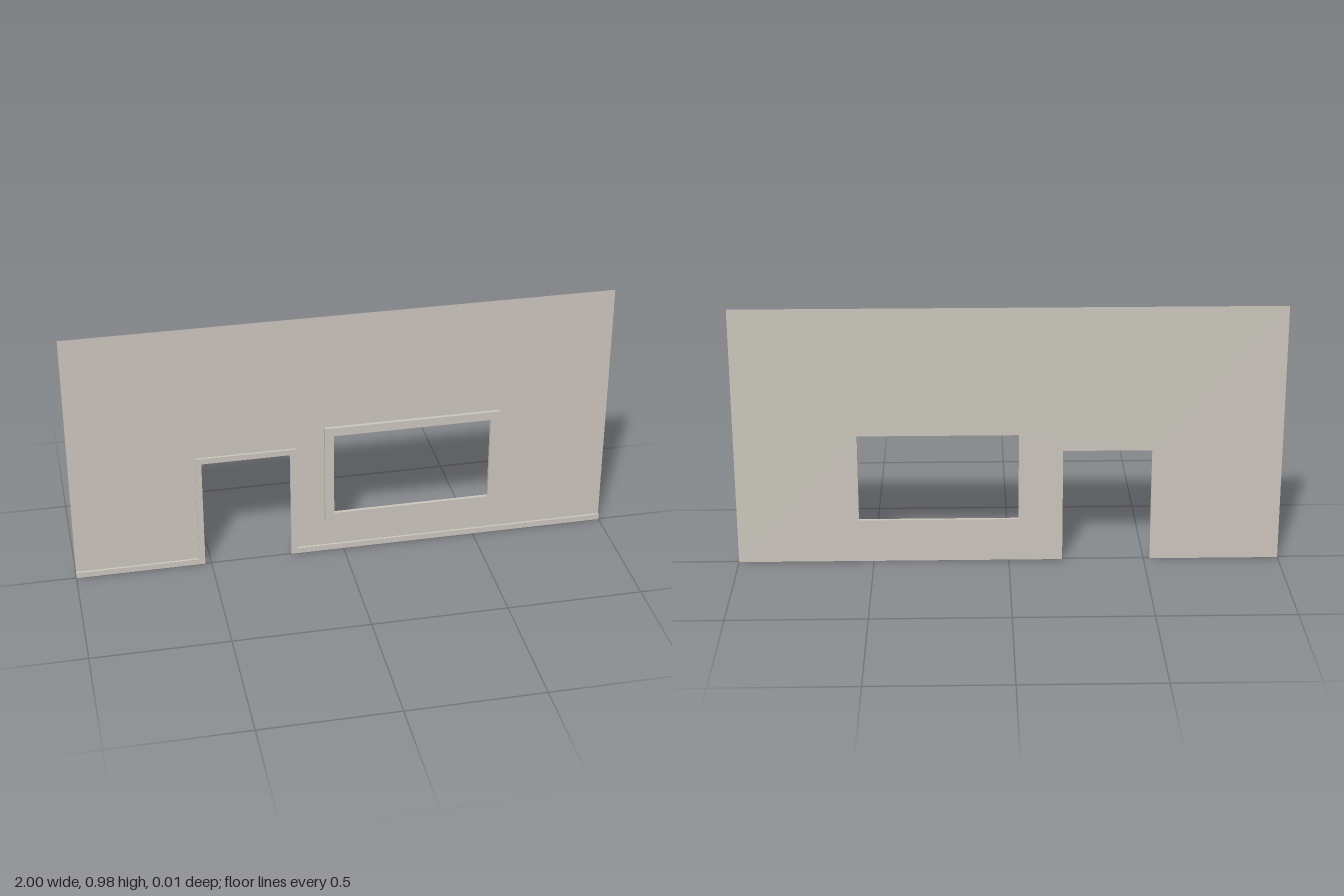
import * as THREE from 'three';

const BACK = -0.0065; // plane of the wall sheet
const HEIGHT = 0.975;
const door = { x0: -0.523, x1: -0.198, top: 0.43 };
const opening = [-0.036, 0.163, 0.552, 0.493]; // x0, y0, x1, y1

function polygon(points) {
  return new THREE.Shape(points.map(([x, y]) => new THREE.Vector2(x, y)));
}

function rectangle([x0, y0, x1, y1]) {
  return polygon([[x0, y0], [x1, y0], [x1, y1], [x0, y1]]);
}

export function createModel() {
  const group = new THREE.Group();
  const plaster = new THREE.MeshStandardMaterial({ color: 0xcac6bd, side: THREE.DoubleSide });
  plaster.name = 'warmGreyPlaster';

  function add(name, geometry) {
    const mesh = new THREE.Mesh(geometry, plaster);
    mesh.name = name;
    mesh.position.z = BACK;
    group.add(mesh);
  }
  const extrude = (shape, depth) => new THREE.ExtrudeGeometry(shape, { depth, bevelEnabled: false });

  // Thin wall sheet with a doorway notch and a window opening
  const wall = polygon([
    [-1, 0], [door.x0, 0], [door.x0, door.top], [door.x1, door.top],
    [door.x1, 0], [1, 0], [1, HEIGHT], [-1, HEIGHT],
  ]);
  wall.holes.push(rectangle(opening));
  add('wall', new THREE.ShapeGeometry(wall));

  // Continuous skirting that turns up and over the doorway
  const t = 0.022;
  const trim = polygon([
    [-1, 0], [door.x0, 0], [door.x0, door.top], [door.x1, door.top], [door.x1, 0], [1, 0],
    [1, t], [door.x1 + t, t], [door.x1 + t, door.top + t],
    [door.x0 - t, door.top + t], [door.x0 - t, t], [-1, t],
  ]);
  add('skirtingAndDoorTrim', extrude(trim, 0.009));

  // Raised window frame
  const frame = rectangle([-0.07, 0.128, 0.587, 0.526]);
  frame.holes.push(rectangle(opening));
  add('windowFrame', extrude(frame, 0.013));

  return group;
}
